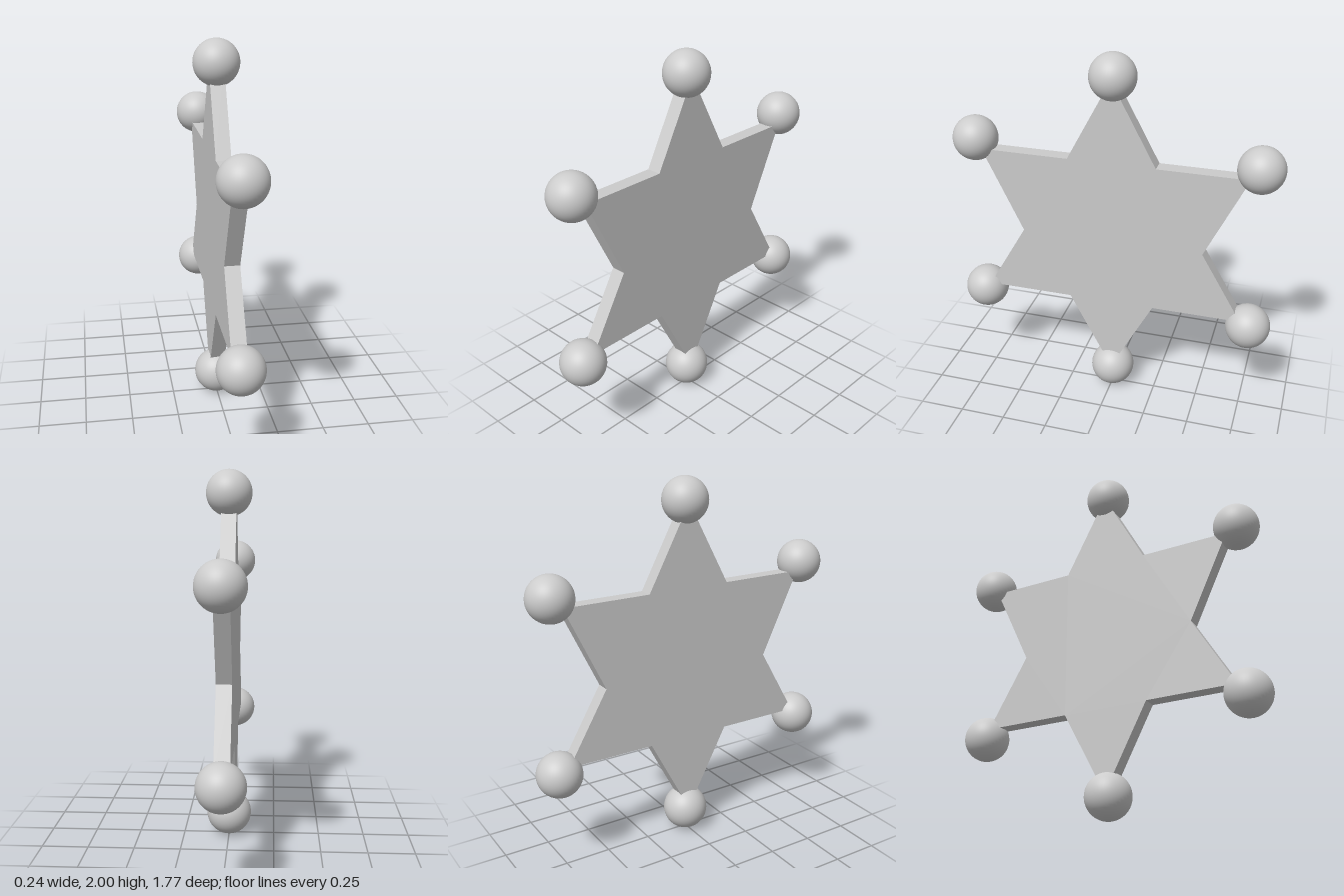
import * as THREE from 'three';

export function createModel() {
  const group = new THREE.Group();
  const material = new THREE.MeshStandardMaterial({ color: 0xcccccc });
  const thickness = 0.08;
  const ballRadius = 0.122;

  // Right half of the star outline, top tip to bottom tip
  const half = [
    [0, 1.87], [0.238, 1.425], [0.72, 1.425], [0.5, 0.965],
    [0.725, 0.58], [0.238, 0.58], [0, 0.13],
  ];
  const mirrored = half.slice(1, -1).reverse().map(([u, y]) => [-u, y]);
  const outline = [...half, ...mirrored].map(([u, y]) => new THREE.Vector2(u, y));

  // Flat plate standing in the YZ plane
  const plateGeometry = new THREE.ExtrudeGeometry(new THREE.Shape(outline), {
    depth: thickness, bevelEnabled: false,
  });
  plateGeometry.translate(0, 0, -thickness / 2);
  plateGeometry.rotateY(Math.PI / 2);
  const plate = new THREE.Mesh(plateGeometry, material);
  plate.name = 'starPlate';
  group.add(plate);

  // A ball on each of the six tips
  const ballGeometry = new THREE.SphereGeometry(ballRadius, 40, 28);
  const centres = [
    [1.878, 0], [1.47, 0.765], [0.537, 0.765],
    [0.124, 0], [0.537, -0.765], [1.47, -0.765],
  ];
  centres.forEach(([y, z], i) => {
    const ball = new THREE.Mesh(ballGeometry, material);
    ball.name = `tipBall${i + 1}`;
    ball.position.set(0, y, z);
    group.add(ball);
  });

  return group;
}
